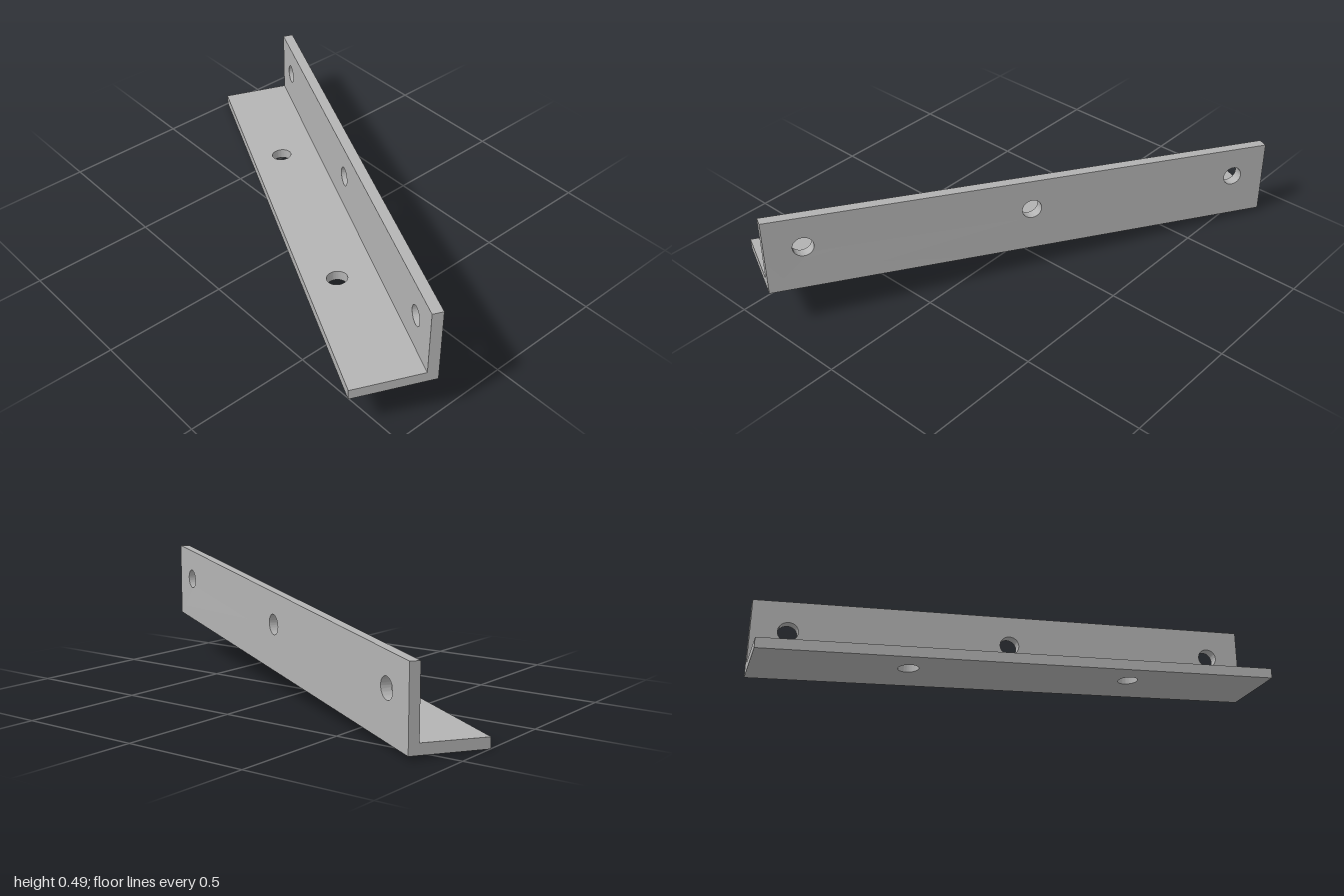
import * as THREE from 'three';
import { toCreasedNormals } from 'three/addons/utils/BufferGeometryUtils.js';

const LENGTH = 2.075, HEIGHT = 0.312, WIDTH = 0.318, THICK = 0.042, HOLE = 0.04;

// Flat bar running along x from y0 to y1, pierced by round holes at [x, y]
function drilledPlate(y0, y1, holes) {
  const shape = new THREE.Shape();
  shape.moveTo(0, y0);
  shape.lineTo(LENGTH, y0);
  shape.lineTo(LENGTH, y1);
  shape.lineTo(0, y1);
  shape.closePath();
  for (const [x, y] of holes) {
    const hole = new THREE.Path();
    hole.absarc(x, y, HOLE, 0, Math.PI * 2, true);
    shape.holes.push(hole);
  }
  return new THREE.ExtrudeGeometry(shape, { depth: THICK, bevelEnabled: false, curveSegments: 32 });
}

export function createModel() {
  const steel = new THREE.MeshStandardMaterial({ color: 0xb4b4b4 });
  steel.name = 'grey steel';
  const group = new THREE.Group();
  group.name = 'angleBracket';

  // Bar axes: turned about y, with the length and width sloping while the uprights stay vertical
  const a = THREE.MathUtils.degToRad(26.4), c = Math.cos(a), s = Math.sin(a);
  const placement = new THREE.Matrix4().makeBasis(
    new THREE.Vector3(s, -0.078, -c),
    new THREE.Vector3(0, 1, 0),
    new THREE.Vector3(c, 0.0457, s),
  ).setPosition(-0.319, 0.1765, 0.999);

  function add(name, geometry) {
    geometry.applyMatrix4(placement);
    const mesh = new THREE.Mesh(toCreasedNormals(geometry, 0.6), steel);
    mesh.name = name;
    group.add(mesh);
  }

  const mid = LENGTH / 2;

  // Upright flange with three holes
  const upright = drilledPlate(0, HEIGHT, [-1, 0, 1].map((i) => [mid + i * 0.894, 0.184]));
  upright.translate(0, 0, -THICK);
  add('uprightFlange', upright);

  // Lower flange with two holes
  const lower = drilledPlate(THICK, WIDTH, [-1, 1].map((i) => [mid + i * 0.45, 0.194]));
  lower.rotateX(-Math.PI / 2);
  add('lowerFlange', lower);

  return group;
}
